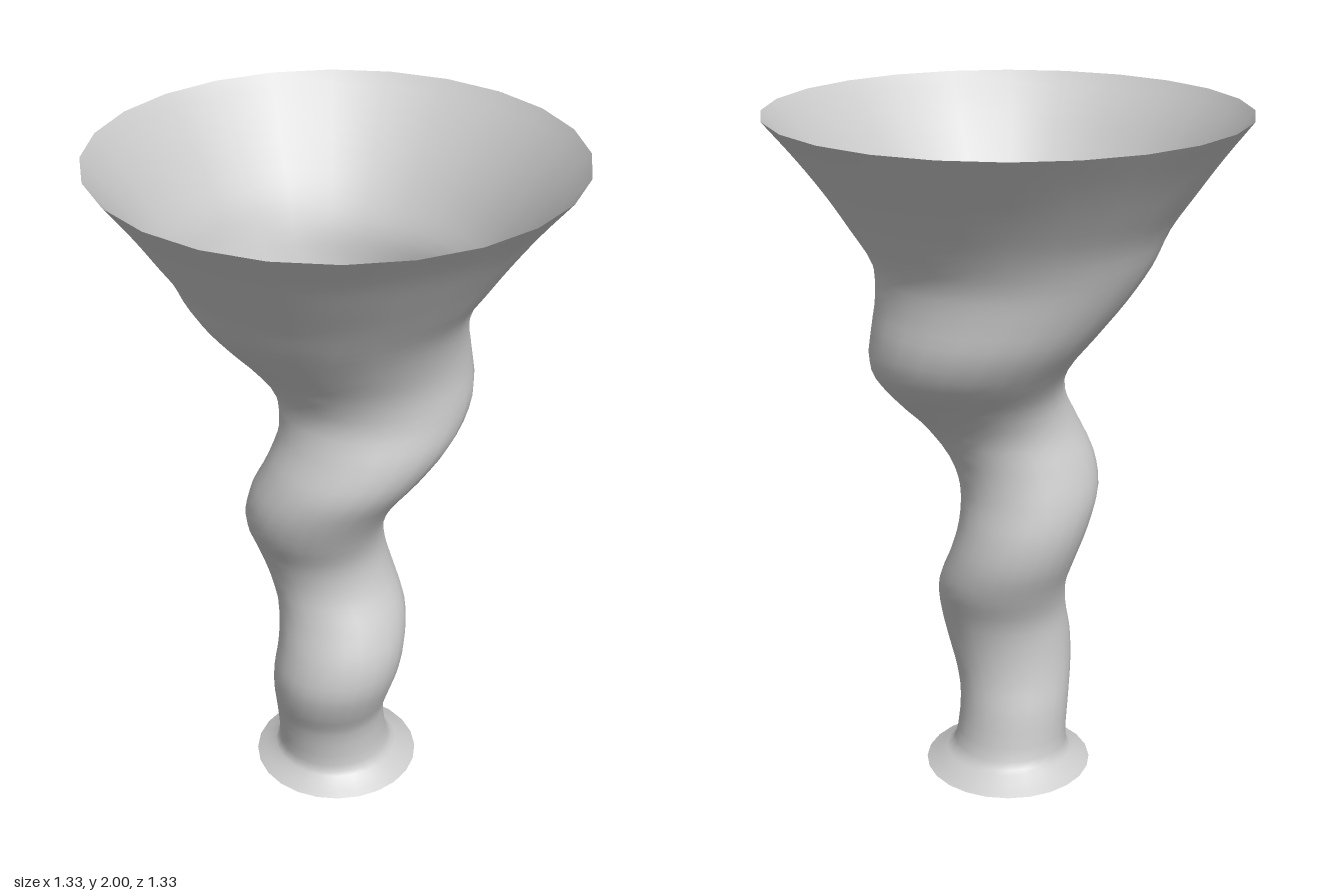
import * as THREE from 'three';

const SIDES = 24;
const STEPS = 3; // rings per profile row

// Cross-sections: height, centre x, centre z, radius
const rows = [
  [0, 0, 0, 0.25], [0.03, 0, 0, 0.203], [0.07, -0.005, 0.01, 0.17],
  [0.2, -0.01, 0.033, 0.165], [0.3, 0.005, 0.065, 0.176], [0.4, 0.025, 0.078, 0.188],
  [0.5, 0.037, 0.06, 0.19], [0.6, 0.022, 0.02, 0.19], [0.7, -0.018, -0.005, 0.187],
  [0.8, -0.048, 0.005, 0.191], [0.9, -0.052, 0.04, 0.203], [1, -0.018, 0.06, 0.214],
  [1.1, 0.045, 0.05, 0.229], [1.2, 0.092, -0.008, 0.253], [1.3, 0.089, -0.07, 0.284],
  [1.4, 0.045, -0.073, 0.317], [1.5, 0.005, -0.038, 0.353], [1.6, -0.015, -0.005, 0.395],
  [1.7, -0.005, 0.002, 0.449], [1.8, -0.005, 0.005, 0.516], [1.9, -0.003, 0.002, 0.588],
  [2, 0, 0, 0.668],
];

// Smooth curve through one set of row values
const curve = (toPoint) =>
  new THREE.CatmullRomCurve3(rows.map(toPoint), false, 'catmullrom', 0.5);

export function createModel() {
  const spine = curve(([y, x, z]) => new THREE.Vector3(x, y, z));
  const radius = curve(([, , , r]) => new THREE.Vector3(r, 0, 0));

  // Stack level circles along the winding spine
  const rings = (rows.length - 1) * STEPS;
  const positions = [];
  const indices = [];
  for (let i = 0; i <= rings; i++) {
    const c = spine.getPoint(i / rings);
    const r = radius.getPoint(i / rings).x;
    for (let j = 0; j < SIDES; j++) {
      const a = (j / SIDES) * Math.PI * 2 - 0.06;
      positions.push(c.x + r * Math.cos(a), c.y, c.z + r * Math.sin(a));
      if (i < rings) {
        const k = i * SIDES + j;
        const n = i * SIDES + ((j + 1) % SIDES);
        indices.push(k, k + SIDES, n, n, k + SIDES, n + SIDES);
      }
    }
  }

  const geometry = new THREE.BufferGeometry();
  geometry.setAttribute('position', new THREE.Float32BufferAttribute(positions, 3));
  geometry.setIndex(indices);
  geometry.computeVertexNormals();

  // Thin open shell: flared foot, twisting stem and wide funnel in one skin
  const shell = new THREE.Mesh(
    geometry,
    new THREE.MeshStandardMaterial({ color: 0xcccccc, side: THREE.DoubleSide })
  );
  shell.name = 'twistedVaseShell';

  const group = new THREE.Group();
  group.name = 'twistedVase';
  group.add(shell);
  return group;
}
